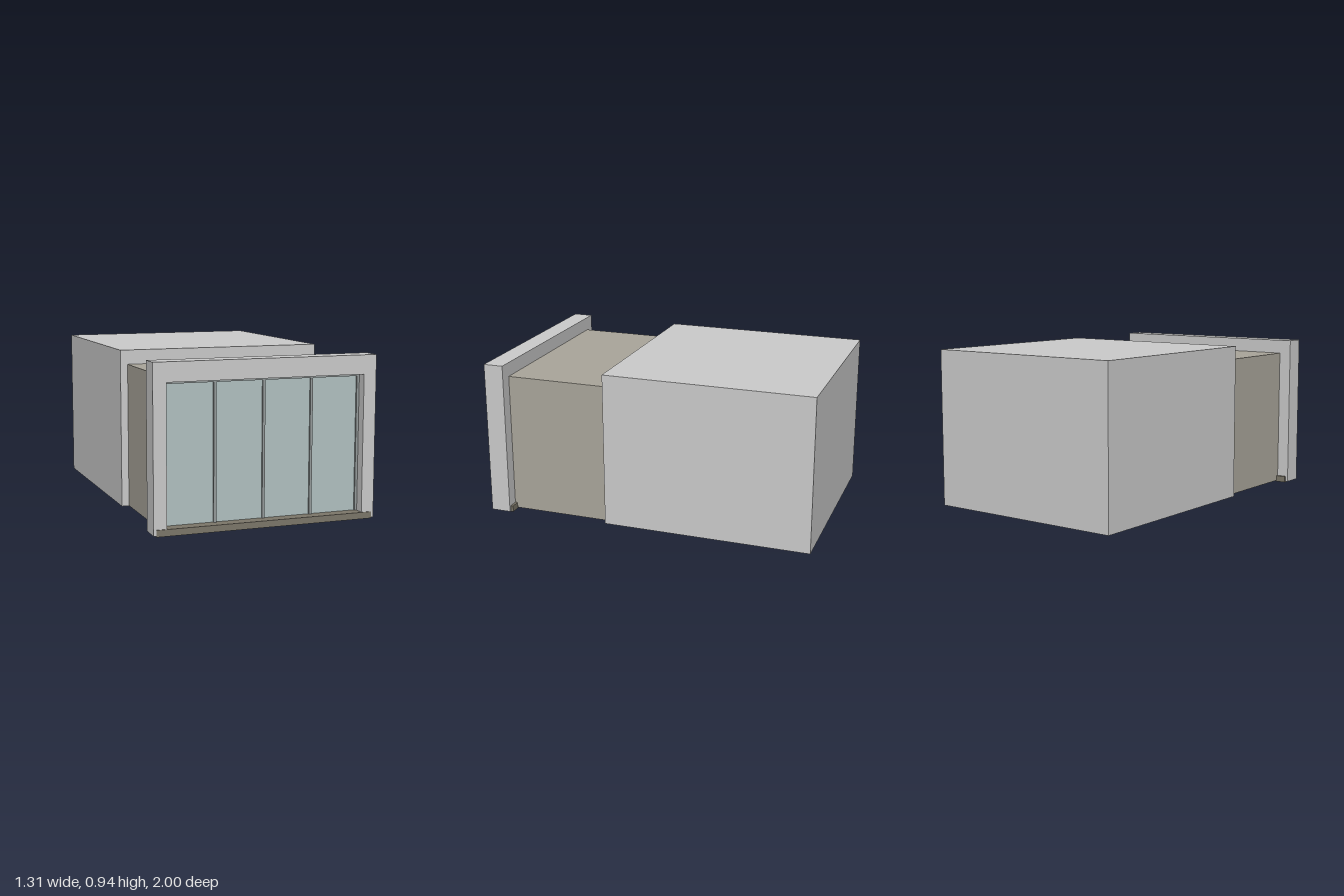
import * as THREE from 'three';

const mat = (color) => new THREE.MeshStandardMaterial({ color });

export function createModel() {
  const model = new THREE.Group();
  const wall = mat(0xcccccc), lining = mat(0xaaa69b), sillMat = mat(0x7c776a);
  const metal = mat(0x959b9b), glass = mat(0xb2c2c2);

  // Box given by its min and max corners
  function block(name, material, [x0, y0, z0], [x1, y1, z1], parent = model) {
    const mesh = new THREE.Mesh(new THREE.BoxGeometry(x1 - x0, y1 - y0, z1 - z0), material);
    mesh.position.set((x0 + x1) / 2, (y0 + y1) / 2, (z0 + z1) / 2);
    mesh.name = name;
    parent.add(mesh);
    return mesh;
  }

  // Rear volume and the narrower passage in front of it
  block('rearVolume', wall, [-0.623, 0.005, -1], [0.623, 0.936, 0.255]);
  block('passage', lining, [-0.58, 0.006, 0.255], [0.58, 0.852, 0.876]);

  // Portal surround: two jambs and a lintel in one piece
  const portal = new THREE.Shape();
  [[-0.655, 0.005], [-0.58, 0.005], [-0.58, 0.827], [0.58, 0.827],
    [0.58, 0.005], [0.655, 0.005], [0.655, 0.936], [-0.655, 0.936]]
    .forEach(([x, y], i) => (i ? portal.lineTo(x, y) : portal.moveTo(x, y)));
  portal.closePath();
  const surround = new THREE.Mesh(
    new THREE.ExtrudeGeometry(portal, { depth: 0.12, bevelEnabled: false }), wall);
  surround.position.z = 0.875;
  surround.name = 'portalSurround';
  model.add(surround);

  // Sill
  block('sill', sillMat, [-0.64, 0, 0.86], [0.64, 0.038, 1]);

  // Window: recessed bars with four panes
  const windowGroup = new THREE.Group();
  windowGroup.name = 'window';
  model.add(windowGroup);
  const bar = 0.015, pitch = (1.16 - bar) / 4;
  for (let i = 0; i <= 4; i++) {
    const x = -0.58 + i * pitch;
    block('windowBar', metal, [x, 0.03, 0.88], [x + bar, 0.827, 0.938], windowGroup);
    if (i < 4) {
      block('pane', glass, [x + bar, 0.03, 0.905], [x + pitch, 0.812, 0.927], windowGroup);
    }
  }
  block('windowHead', metal, [-0.58, 0.812, 0.88], [0.58, 0.827, 0.938], windowGroup);

  return model;
}
